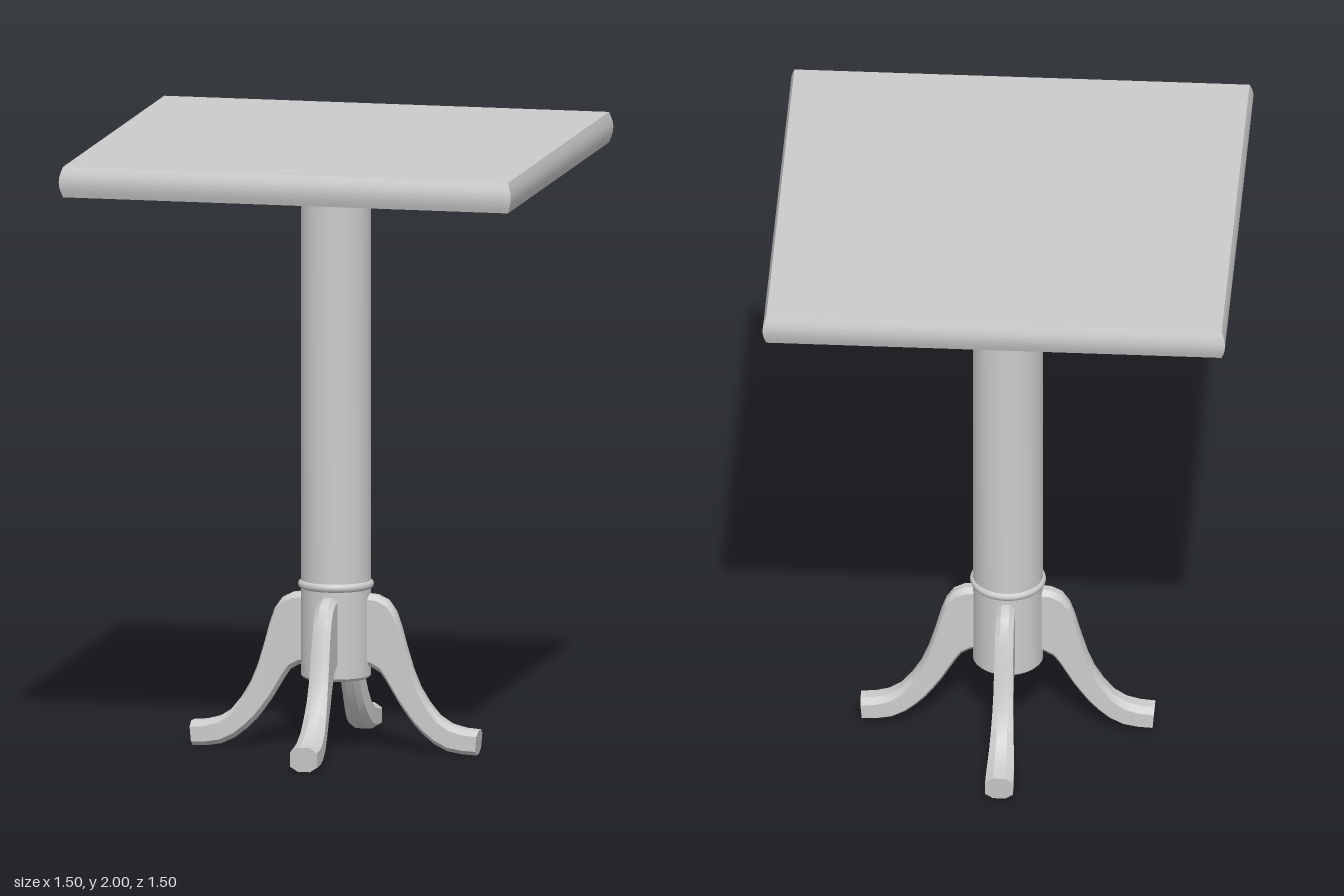
import * as THREE from 'three';
import { toCreasedNormals } from 'three/addons/utils/BufferGeometryUtils.js';

const material = new THREE.MeshStandardMaterial({ color: 0xcccccc });

function addMesh(parent, name, geometry) {
  const mesh = new THREE.Mesh(geometry, material);
  mesh.name = name;
  parent.add(mesh);
  return mesh;
}

function lathe(profile, segments, crease) {
  const points = profile.map(([r, y]) => new THREE.Vector2(r, y));
  return toCreasedNormals(new THREE.LatheGeometry(points, segments), crease);
}

// Square slab with bowed edges: a four-sided lathe turned by 45 degrees.
function tabletopGeometry() {
  const profile = [[0, 1.9]];
  const steps = 6;
  for (let i = 0; i <= steps; i++) {
    const t = i / steps;
    const half = 0.738 + 0.012 * Math.sin(Math.PI * t);
    profile.push([half * Math.SQRT2, 1.9 + 0.1 * t]);
  }
  profile.push([0, 2]);
  return lathe(profile, 4, 0.6).rotateY(Math.PI / 4);
}

// Leg stations: outward distance and height of the upper edge,
// the same for the lower edge, then half the width.
const stations = [
  [0.09, 0.517, 0.09, 0.285, 0.03],
  [0.14, 0.512, 0.12, 0.277, 0.03],
  [0.175, 0.495, 0.15, 0.26, 0.03],
  [0.2, 0.46, 0.17, 0.232, 0.03],
  [0.217, 0.412, 0.195, 0.19, 0.03],
  [0.235, 0.345, 0.215, 0.157, 0.031],
  [0.257, 0.272, 0.24, 0.122, 0.032],
  [0.28, 0.215, 0.265, 0.09, 0.034],
  [0.31, 0.165, 0.295, 0.06, 0.037],
  [0.345, 0.122, 0.33, 0.032, 0.04],
  [0.385, 0.096, 0.375, 0.01, 0.043],
  [0.43, 0.084, 0.425, 0.002, 0.045],
  [0.477, 0.08, 0.47, 0, 0.045],
];

// Lofts a chamfered cross-section along the stations, pointing to +z.
function legGeometry() {
  const positions = [];
  const rings = stations.map(([tz, ty, bz, by, w]) => {
    const top = new THREE.Vector3(0, ty, tz);
    const bottom = new THREE.Vector3(0, by, bz);
    const chamfer = 0.016 / top.distanceTo(bottom);
    const section = [
      [-0.45, 0], [0.45, 0], [1, chamfer], [1, 1 - chamfer],
      [0.45, 1], [-0.45, 1], [-1, 1 - chamfer], [-1, chamfer],
    ];
    return section.map(([s, t]) => {
      const p = bottom.clone().lerp(top, t);
      p.x = s * w;
      return p;
    });
  });
  const triangle = (...corners) => corners.forEach((p) => positions.push(p.x, p.y, p.z));
  const n = rings[0].length;
  for (let i = 0; i < rings.length - 1; i++) {
    for (let j = 0; j < n; j++) {
      const k = (j + 1) % n;
      triangle(rings[i][j], rings[i][k], rings[i + 1][k]);
      triangle(rings[i][j], rings[i + 1][k], rings[i + 1][j]);
    }
  }
  // End caps
  const first = rings[0];
  const last = rings[rings.length - 1];
  for (let j = 1; j < n - 1; j++) {
    triangle(last[0], last[j], last[j + 1]);
    triangle(first[0], first[j + 1], first[j]);
  }
  const geometry = new THREE.BufferGeometry();
  geometry.setAttribute('position', new THREE.Float32BufferAttribute(positions, 3));
  return toCreasedNormals(geometry, 0.5);
}

export function createModel() {
  const table = new THREE.Group();
  table.name = 'pedestalTable';

  addMesh(table, 'tabletop', tabletopGeometry());

  // Column with a small chamfer at its foot
  addMesh(table, 'column', lathe(
    [[0, 0.238], [0.105, 0.238], [0.114, 0.247], [0.114, 1.9], [0, 1.9]], 48, 0.6));

  // Rounded collar above the legs
  const collar = new THREE.TorusGeometry(0.108, 0.015, 12, 48);
  collar.rotateX(Math.PI / 2).translate(0, 0.545, 0);
  addMesh(table, 'collar', collar);

  // Four curved legs, one toward each side
  const legs = new THREE.Group();
  legs.name = 'legs';
  table.add(legs);
  const geometry = legGeometry();
  ['frontLeg', 'leftLeg', 'backLeg', 'rightLeg'].forEach((name, i) => {
    addMesh(legs, name, geometry).rotation.y = i * Math.PI / 2;
  });

  return table;
}
